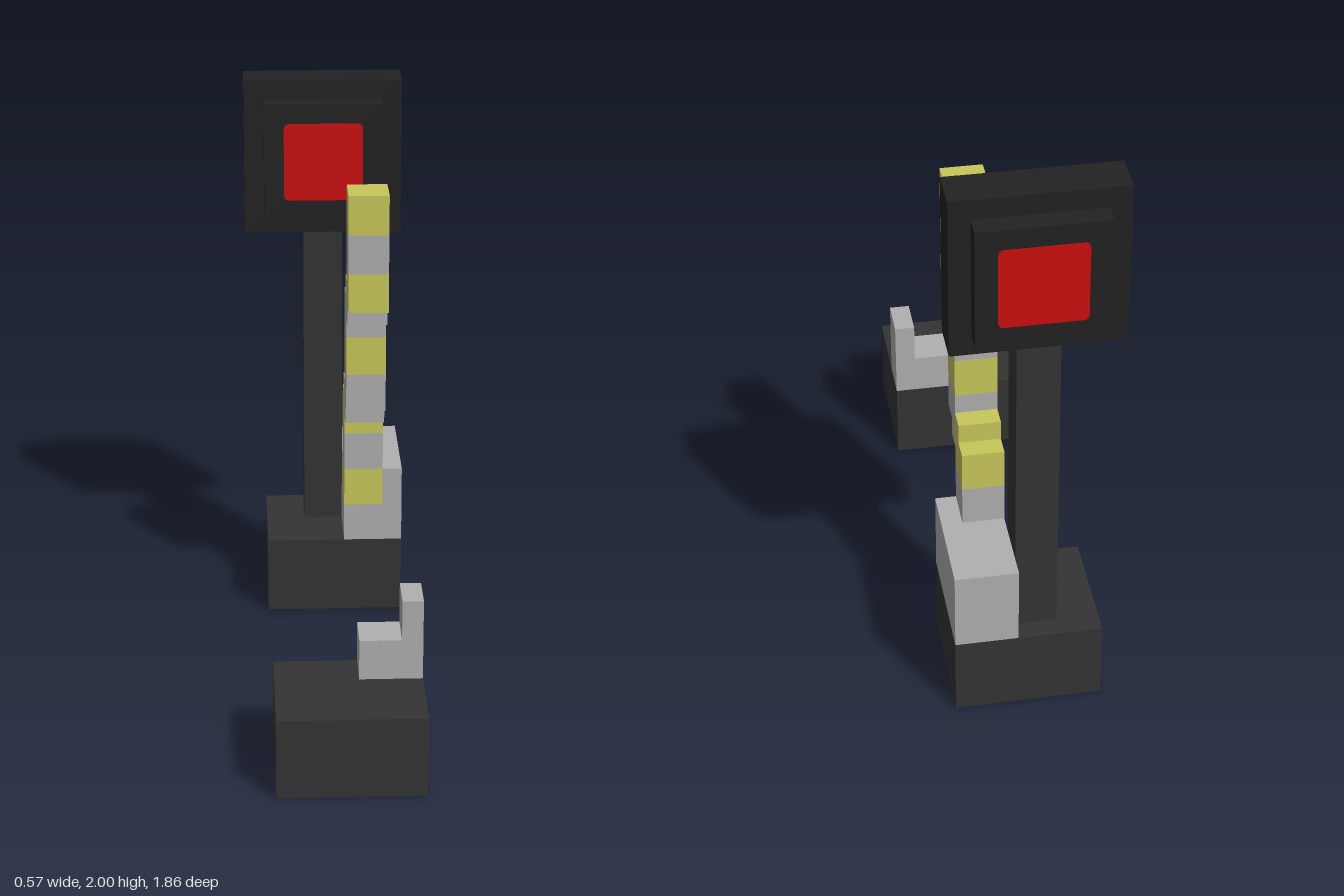
import * as THREE from 'three';

const U = 1 / 14; // one block unit

const mat = (name, color) => {
  const m = new THREE.MeshStandardMaterial({ color });
  m.name = name;
  return m;
};

export function createModel() {
  const model = new THREE.Group();
  model.name = 'crossingBarrier';
  const charcoal = mat('charcoal', 0x343434);
  const black = mat('black', 0x222222);
  const grey = mat('grey', 0xb0b0b0);
  const yellow = mat('yellow', 0xc8c85a);
  const red = mat('red', 0xcc0e0e);

  // Box between two corners given in block units
  const block = (parent, name, material, [x0, y0, z0], [x1, y1, z1]) => {
    const g = new THREE.BoxGeometry((x1 - x0) * U, (y1 - y0) * U, (z1 - z0) * U);
    const m = new THREE.Mesh(g, material);
    m.position.set((x0 + x1) * U / 2, (y0 + y1) * U / 2, (z0 + z1) * U / 2);
    m.name = name;
    parent.add(m);
  };
  const group = (name) => {
    const g = new THREE.Group();
    g.name = name;
    model.add(g);
    return g;
  };

  // Two foundations
  block(model, 'frontBase', charcoal, [-3, 0, 7], [4, 4, 13]);
  block(model, 'rearBase', charcoal, [-3, 0, -13], [4, 4, -7]);

  // Signal post and head
  block(model, 'post', charcoal, [-1, 4, -12], [1, 20, -10]);
  const head = group('signalHead');
  block(head, 'backboard', black, [-4, 20, -12], [4, 28, -10]);
  block(head, 'lampHousing', black, [-3, 21, -13], [3, 27, -9]);

  // Red lamp with softened corners, on both sides
  const h = 2 * U, r = 0.02;
  const s = new THREE.Shape();
  s.moveTo(-h + r, -h);
  s.lineTo(h - r, -h).quadraticCurveTo(h, -h, h, -h + r);
  s.lineTo(h, h - r).quadraticCurveTo(h, h, h - r, h);
  s.lineTo(-h + r, h).quadraticCurveTo(-h, h, -h, h - r);
  s.lineTo(-h, -h + r).quadraticCurveTo(-h, -h, -h + r, -h);
  const lampGeo = new THREE.ExtrudeGeometry(s, { depth: 0.003, bevelEnabled: false, curveSegments: 4 });
  for (const [name, z, turn] of [['frontLamp', -9, 0], ['rearLamp', -13, Math.PI]]) {
    const lamp = new THREE.Mesh(lampGeo, red);
    lamp.name = name;
    lamp.position.set(0, 24 * U, z * U);
    lamp.rotation.y = turn;
    head.add(lamp);
  }

  // Barrier motor box, notched where the arm sits
  const motor = group('motorBox');
  block(motor, 'motorBottom', grey, [1, 4, -13], [4, 6, -7]);
  block(motor, 'motorSide', grey, [3, 6, -13], [4, 8, -7]);
  block(motor, 'motorRear', grey, [1, 6, -13], [3, 8, -9]);

  // Rest for the lowered arm
  const rest = group('armRest');
  block(rest, 'restSeat', grey, [1, 4, 7], [3, 6, 9]);
  block(rest, 'restGuard', grey, [3, 4, 7], [4, 8, 9]);

  // Striped arm, rising in steps: [material, y0, y1, z0, z1]
  const arm = group('barrierArm');
  const stripes = [
    [yellow, 6, 8, -9, -7], [grey, 8, 10, -9, -7], [yellow, 10, 12, -9, -7],
    [yellow, 12, 13, -8, -7], [grey, 11, 12, -7, -6],
    [grey, 12, 14, -7, -5], [yellow, 14, 16, -7, -5], [grey, 16, 18, -7, -5],
    [grey, 18, 19, -6, -5], [grey, 17, 18, -5, -4],
    [yellow, 18, 20, -5, -3], [grey, 20, 22, -5, -3], [yellow, 22, 24, -5, -3],
  ];
  for (const [m, y0, y1, z0, z1] of stripes) {
    block(arm, m.name + 'Stripe', m, [1, y0, z0], [3, y1, z1]);
  }
  return model;
}
